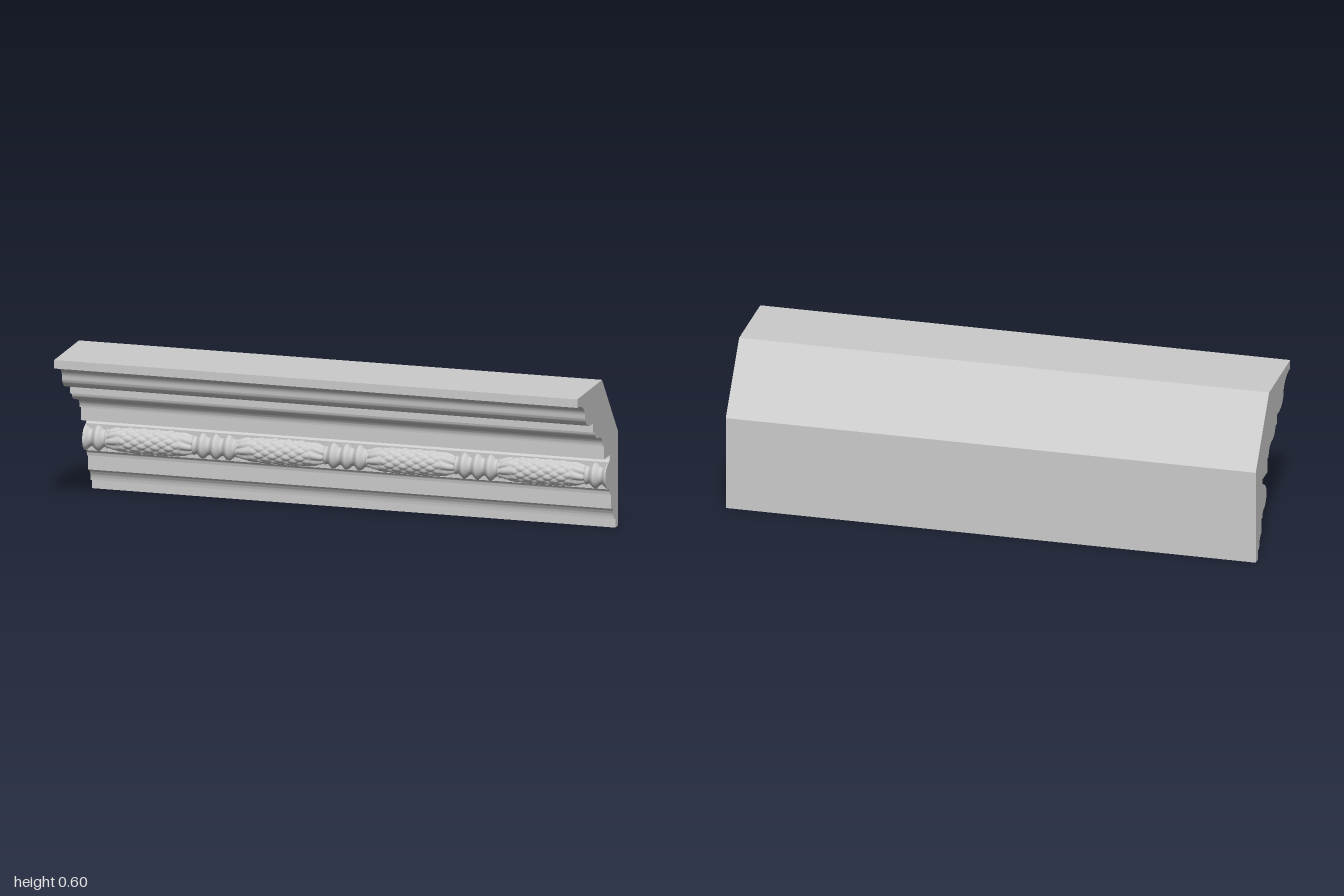
import * as THREE from 'three';
import { toCreasedNormals } from 'three/addons/utils/BufferGeometryUtils.js';

const AXIS_Y = 0.2125, AXIS_Z = -0.143;
const material = new THREE.MeshStandardMaterial({ color: 0xcccccc });

// Quarter-round from the shape's current point, leaving vertically or horizontally
function quarter(shape, x, y, verticalFirst) {
  const { x: x0, y: y0 } = shape.currentPoint;
  const k = 0.552, dx = x - x0, dy = y - y0;
  if (verticalFirst) shape.bezierCurveTo(x0, y0 + dy * k, x - dx * k, y, x, y);
  else shape.bezierCurveTo(x0 + dx * k, y0, x, y - dy * k, x, y);
}

// Cornice section: shape x is depth towards the back, y is up
function corniceGeometry() {
  const s = new THREE.Shape();
  const lines = (...pts) => pts.forEach(([x, y]) => s.lineTo(x, y));
  s.moveTo(0.25, 0);
  lines([0.25, 0.358], [0.055, 0.596], [-0.252, 0.596], [-0.252, 0.564]);
  // crown cyma
  quarter(s, -0.155, 0.507, false);
  quarter(s, -0.085, 0.459, true);
  lines([-0.057, 0.459], [-0.057, 0.424], [-0.036, 0.424]);
  // middle cyma
  quarter(s, 0.012, 0.387, true);
  quarter(s, 0.063, 0.343, false);
  lines([0.078, 0.343], [0.078, 0.29], [0.153, 0.29], [0.153, 0.286]);
  // hollow bed behind the ornament
  quarter(s, 0.137, 0.265, true);
  lines([0.137, 0.163]);
  quarter(s, 0.153, 0.139, false);
  lines([0.167, 0.139], [0.167, 0.083]);
  // foot cove
  quarter(s, 0.2, 0.035, false);
  lines([0.218, 0.035], [0.218, 0]);
  const g = new THREE.ExtrudeGeometry(s, { depth: 2, bevelEnabled: false, curveSegments: 14 });
  g.rotateY(Math.PI / 2).translate(-1, 0, 0);
  return toCreasedNormals(g, 0.5);
}

// Overlapping diamond leaves, two staggered lattices
function leafRelief(u, angle) {
  let best = 0;
  for (const shift of [0, 0.5]) {
    const a = u / 0.052 + shift, b = angle / 0.62 + shift;
    const fa = Math.abs(a - Math.floor(a) - 0.5), fb = Math.abs(b - Math.floor(b) - 0.5);
    best = Math.max(best, 1 - 2 * (fa + fb) - 0.25 * Math.exp(-fb * fb * 900));
  }
  return Math.sqrt(Math.max(best, 0));
}

// Radius of the enriched bead: leafy ovals every half unit, turned reels between
function beadRadius(x, angle) {
  const u = x - (Math.floor(x * 2) / 2 + 0.25);
  const d = Math.abs(u);
  if (d > 0.165) return 0.033 + 0.016 * Math.cos(((d - 0.25) / 0.05) * Math.PI) ** 2;
  const body = 0.044 * Math.sqrt(1 - (d / 0.185) ** 4);
  const tips = THREE.MathUtils.smoothstep(d, 0.1, 0.13);
  const fluting = Math.abs(Math.cos(angle * 4 + d * 25));
  return body + 0.007 * ((1 - tips) * leafRelief(u, angle) + tips * fluting);
}

function beadGeometry() {
  const g = new THREE.PlaneGeometry(2, 1, 800, 40);
  const p = g.attributes.position;
  for (let i = 0; i < p.count; i++) {
    const x = p.getX(i), angle = p.getY(i) * Math.PI * 1.1;
    const r = beadRadius(x, angle);
    p.setXYZ(i, x, AXIS_Y + r * Math.sin(angle), AXIS_Z + r * Math.cos(angle));
  }
  g.computeVertexNormals();
  return g;
}

export function createModel() {
  const group = new THREE.Group();
  group.name = 'corniceMoulding';
  const add = (name, geometry) => {
    const mesh = new THREE.Mesh(geometry, material);
    mesh.name = name;
    group.add(mesh);
    return mesh;
  };
  add('cornice', corniceGeometry());
  add('carvedBead', beadGeometry());
  // flat cut ends of the bead
  for (const side of [-1, 1]) {
    const cap = new THREE.CircleGeometry(beadRadius(1, 0), 24, side * Math.PI / 2, Math.PI);
    cap.rotateY(side * Math.PI / 2);
    add(side > 0 ? 'beadEndLeft' : 'beadEndRight', cap).position.set(side, AXIS_Y, AXIS_Z);
  }
  return group;
}
